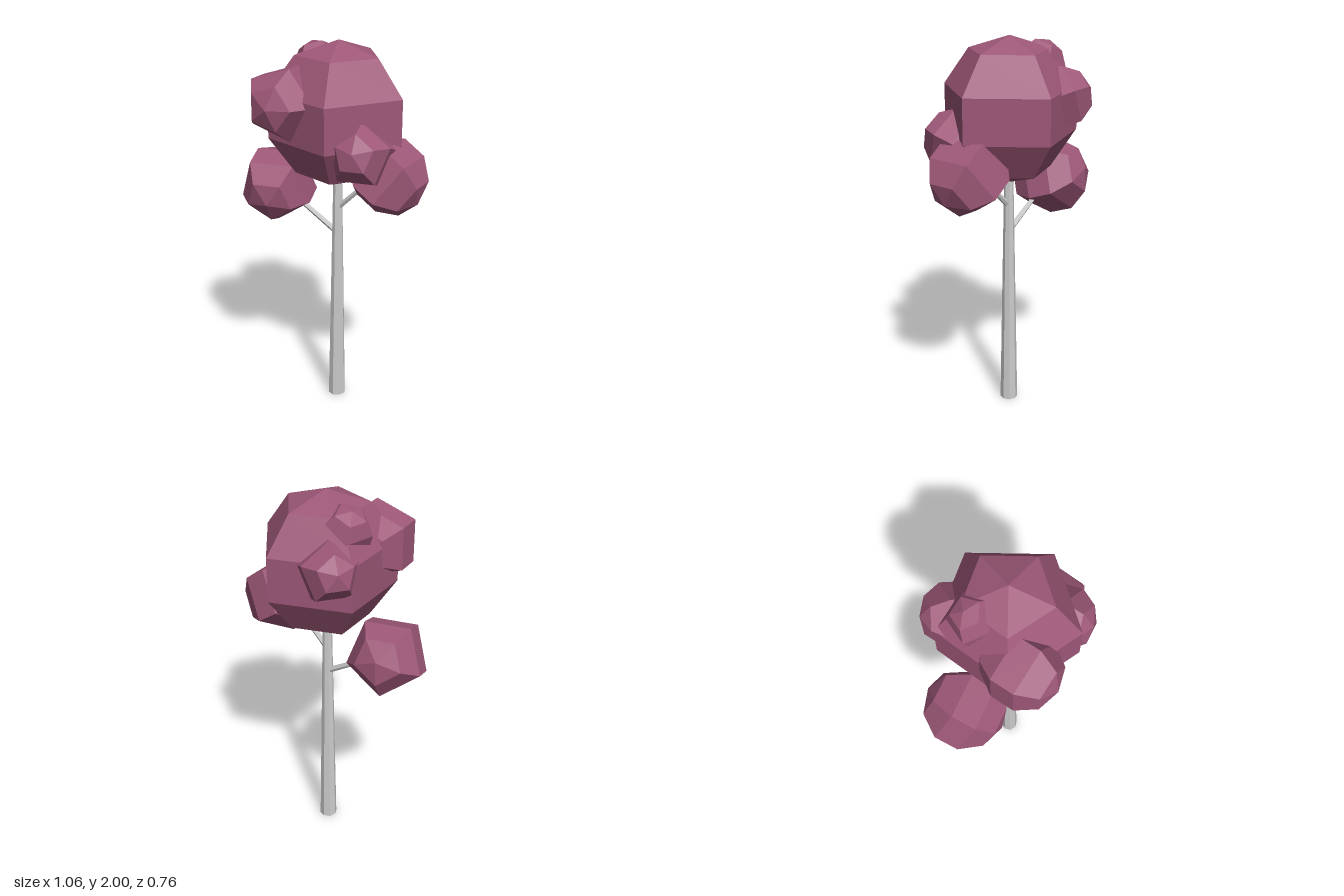
import * as THREE from 'three';

const bark = new THREE.MeshStandardMaterial({ color: 0xcccccc, flatShading: true });
const leaf = new THREE.MeshStandardMaterial({ color: 0x9e5878, flatShading: true });
const vec = (p) => new THREE.Vector3(...p);

// Five-sided faceted ball: its pole points along axis, one corner column toward corner
function foliage(name, radius, position, axis, corner) {
  const geometry = new THREE.SphereGeometry(radius, 5, 5).rotateY(Math.PI);
  const y = vec(axis).normalize();
  const x = vec(corner).addScaledVector(y, -vec(corner).dot(y)).normalize();
  const z = new THREE.Vector3().crossVectors(x, y);
  const mesh = new THREE.Mesh(geometry, leaf);
  mesh.name = name;
  mesh.quaternion.setFromRotationMatrix(new THREE.Matrix4().makeBasis(x, y, z));
  mesh.position.set(...position);
  return mesh;
}

// Tapered round timber between two points
function limb(name, from, to, r0, r1, sides) {
  const a = vec(from), b = vec(to);
  const dir = b.clone().sub(a);
  const mesh = new THREE.Mesh(new THREE.CylinderGeometry(r1, r0, dir.length(), sides), bark);
  mesh.name = name;
  mesh.position.copy(a).add(b).multiplyScalar(0.5);
  mesh.quaternion.setFromUnitVectors(new THREE.Vector3(0, 1, 0), dir.normalize());
  return mesh;
}

export function createModel() {
  const tree = new THREE.Group();
  tree.name = 'tree';

  // Trunk and its two branches
  tree.add(
    limb('trunk', [0.04, 0, -0.02], [0.04, 1.4, -0.02], 0.047, 0.022, 8),
    limb('rightBranch', [0.04, 0.98, -0.02], [-0.27, 1.17, -0.02], 0.016, 0.011, 6),
    limb('leftBranch', [0.04, 1.12, -0.02], [0.25, 1.32, -0.01], 0.016, 0.011, 6),
  );

  // Crown and the smaller clumps around it
  tree.add(
    foliage('crown', 0.375, [0.04, 1.625, -0.025], [0, 1, 0], [1, 0, 0]),
    foliage('rightBranchFoliage', 0.212, [-0.325, 1.2, -0.02], [0.21, -0.32, 0.93], [-0.55, 0.84, 0]),
    foliage('leftBranchFoliage', 0.21, [0.333, 1.35, 0], [0.82, -0.57, 0], [0, -1, 0]),
    foliage('frontRightClump', 0.2, [-0.145, 1.71, 0.185], [0.05, 0, 1], [1, 0, 0]),
    foliage('frontLeftClump', 0.17, [0.26, 1.48, 0.14], [0.03, 0.055, 0.16], [0, 1, 0]),
    foliage('backRightClump', 0.16, [-0.115, 1.69, -0.23], [-0.7, 0.3, -0.6], [0, 1, 0]),
    foliage('topRightClump', 0.135, [-0.115, 1.84, -0.09], [-0.05, 0.12, -0.025], [0, 0, 1]),
  );
  return tree;
}
